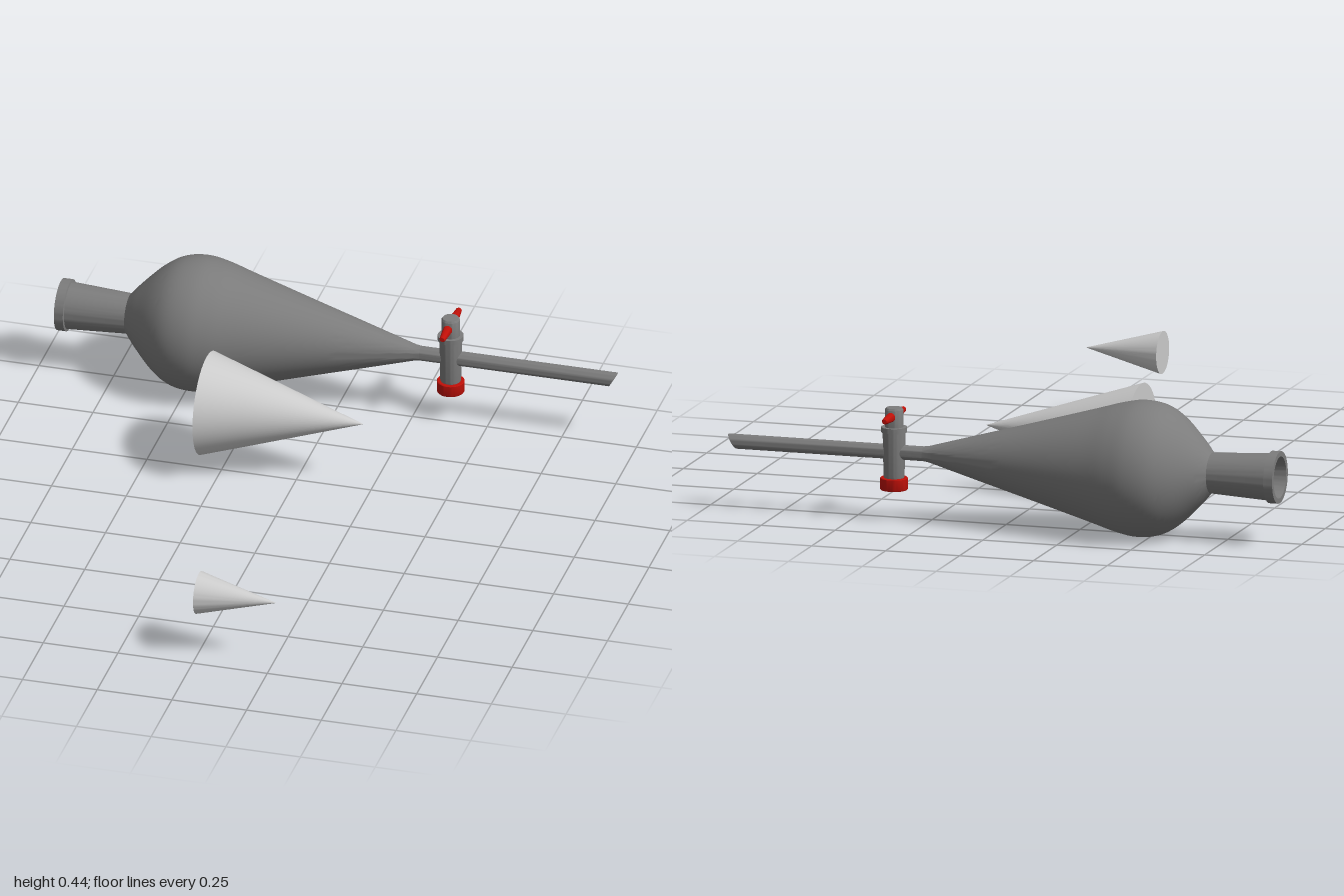
import * as THREE from 'three';
import { toCreasedNormals } from 'three/addons/utils/BufferGeometryUtils.js';

const AXIS_Y = 0.228;
const GLASS_Z = -0.779;
const glass = new THREE.MeshStandardMaterial({ color: 0x7c7c7c });
const red = new THREE.MeshStandardMaterial({ color: 0xc01008 });
const grey = new THREE.MeshStandardMaterial({ color: 0xcccccc });

// Turned part from [position, radius] pairs, along y
function turned(profile, segments = 64) {
  return new THREE.LatheGeometry(profile.map(([p, r]) => new THREE.Vector2(r, p)), segments);
}
// Same, laid along +x
const turnedX = (profile, segments) => turned(profile, segments).rotateZ(-Math.PI / 2);

function add(parent, name, geometry, material, x = 0, y = 0, z = 0) {
  const mesh = new THREE.Mesh(toCreasedNormals(geometry, 0.6), material);
  mesh.name = name;
  mesh.position.set(x, y, z);
  parent.add(mesh);
  return mesh;
}

function createFunnel() {
  const funnel = new THREE.Group();
  funnel.name = 'separatingFunnel';
  funnel.position.set(0, AXIS_Y, GLASS_Z);

  // Pear-shaped vessel with flared neck and open, rimmed mouth
  const bulb = new THREE.SplineCurve([
    [-0.705, 0.066], [-0.665, 0.112], [-0.6, 0.175], [-0.54, 0.211], [-0.47, 0.222],
    [-0.4, 0.211], [-0.31, 0.185], [-0.12, 0.131], [0.08, 0.075], [0.25, 0.027],
  ].map(([x, r]) => new THREE.Vector2(x, r))).getPoints(54).map(p => [p.x, p.y]);
  const wall = 0.012;
  const inner = bulb.map(([x, r]) => [x, Math.max(r - wall, 0.014)]).reverse();
  add(funnel, 'vessel', turnedX([
    [-0.935, 0.068], [-0.935, 0.085], [-0.905, 0.085], [-0.903, 0.077],
    ...bulb, [0.27, 0.024], [0.27, 0.014],
    ...inner, [-0.9, 0.064], [-0.935, 0.068],
  ]), glass);

  // Hollow outlet tube, its end cut at a slant
  const end = 0.915;
  const tube = turnedX([
    [0.26, 0.015], [0.26, 0.024], [end, 0.024], [end, 0.015], [0.26, 0.015],
  ], 32);
  const pos = tube.attributes.position;
  for (let i = 0; i < pos.count; i++) {
    if (pos.getX(i) > end - 0.01) pos.setX(i, end + 0.6 * pos.getY(i));
  }
  add(funnel, 'outletTube', tube, glass);

  funnel.add(createStopcock());
  return funnel;
}

function createStopcock() {
  const tap = new THREE.Group();
  tap.name = 'stopcock';
  tap.position.x = 0.37;

  // Barrel with collar and plug stem
  add(tap, 'barrel', turned([
    [-0.088, 0], [-0.088, 0.032], [-0.078, 0.034], [0.066, 0.037], [0.066, 0.042],
    [0.083, 0.042], [0.083, 0.03], [0.14, 0.03], [0.146, 0.026], [0.146, 0],
  ], 40), glass);

  // Retaining nut
  add(tap, 'nut', turned([
    [-0.124, 0], [-0.124, 0.043], [-0.121, 0.045], [-0.086, 0.045], [-0.084, 0.043], [-0.084, 0],
  ], 32), red);

  // Cross handle with two tapered wings
  const handle = turned([
    [-0.105, 0], [-0.104, 0.007], [-0.098, 0.01], [-0.065, 0.013], [-0.035, 0.015],
    [-0.026, 0.009], [0.026, 0.009],
    [0.035, 0.015], [0.065, 0.013], [0.098, 0.01], [0.104, 0.007], [0.105, 0],
  ], 24).rotateX(Math.PI / 2);
  add(tap, 'handle', handle, red, 0, 0.12, 0);
  return tap;
}

export function createModel() {
  const model = new THREE.Group();
  model.name = 'separatingFunnelWithCones';
  model.add(createFunnel());

  // Solid cones lying beside the funnel, points toward +x
  add(model, 'largeCone', turnedX([[-0.31, 0], [-0.31, 0.17], [-0.16, 0.122], [0.215, 0]]),
    grey, 0, 0.225, -0.285);
  add(model, 'smallCone', turnedX([[0, 0], [0, 0.07], [0.26, 0]]), grey, 0, AXIS_Y, 0.926);
  return model;
}
